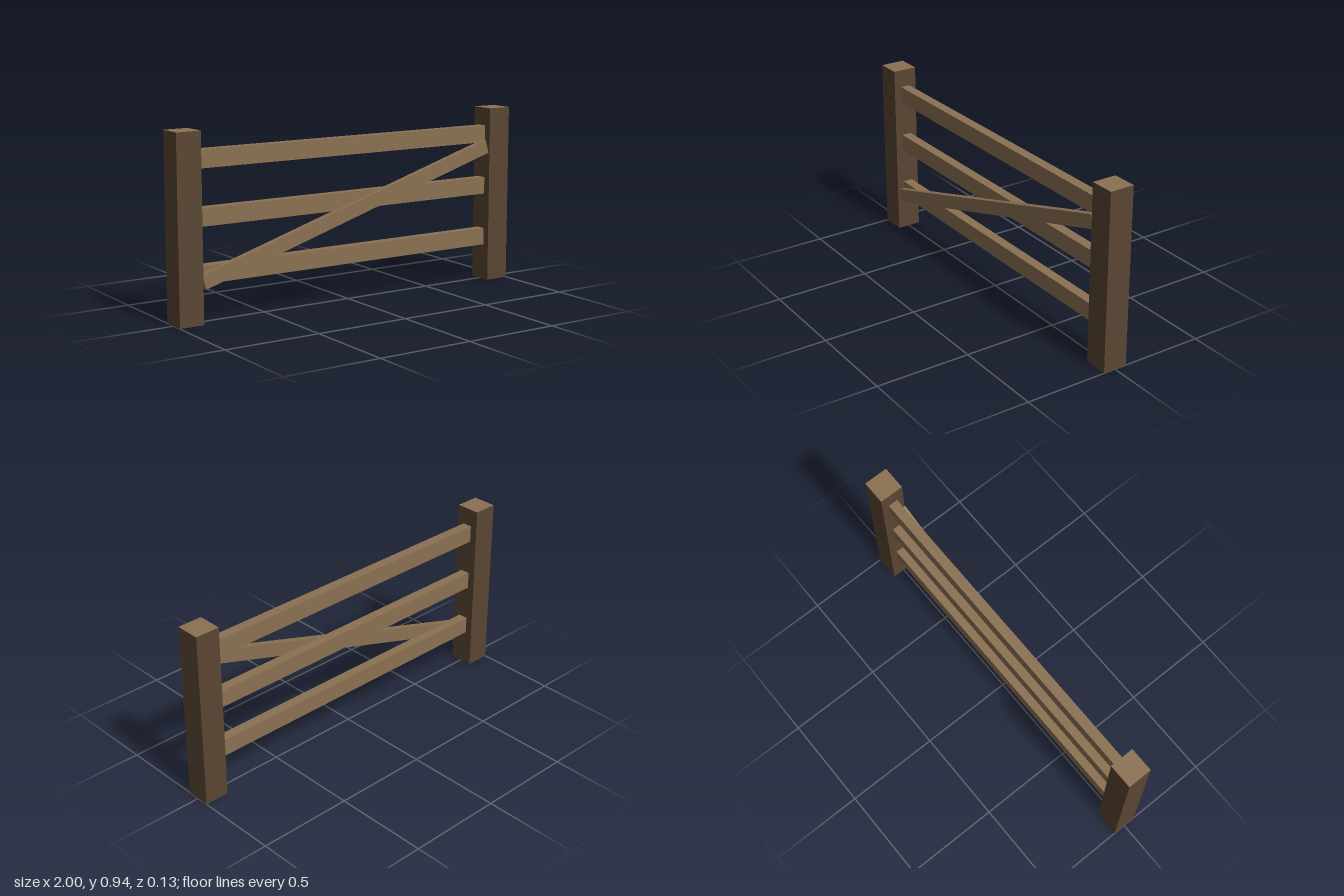
import * as THREE from 'three';

const POST_H = 0.935, POST_W = 0.13;
const RAIL_L = 1.74, RAIL_H = 0.09, RAIL_D = 0.052;

export function createModel() {
  const darkWood = new THREE.MeshStandardMaterial({ color: 0x5a4632, side: THREE.DoubleSide });
  darkWood.name = 'darkWood';
  const lightWood = new THREE.MeshStandardMaterial({ color: 0x8b7152, side: THREE.DoubleSide });
  lightWood.name = 'lightWood';

  const fence = new THREE.Group();
  fence.name = 'fence';
  const add = (name, geometry, material, x, y, z, parent = fence) => {
    const mesh = new THREE.Mesh(geometry, material);
    mesh.name = name;
    mesh.position.set(x, y, z);
    parent.add(mesh);
    return mesh;
  };

  // Posts: four dark sides, open underneath, with a pale cut top
  const r = POST_W / Math.SQRT2;
  const sides = new THREE.CylinderGeometry(r, r, POST_H, 4, 1, true).rotateY(Math.PI / 4).toNonIndexed();
  sides.computeVertexNormals();
  const top = new THREE.PlaneGeometry(POST_W, POST_W).rotateX(-Math.PI / 2);
  for (const side of [-1, 1]) {
    const post = new THREE.Group();
    post.name = side > 0 ? 'leftPost' : 'rightPost';
    post.position.x = side * (1 - POST_W / 2);
    add('postSides', sides, darkWood, 0, POST_H / 2, 0, post);
    add('postTop', top, lightWood, 0, POST_H, 0, post);
    fence.add(post);
  }

  // Three horizontal rails between the posts
  const rail = new THREE.BoxGeometry(RAIL_L, RAIL_H, RAIL_D);
  ['lowerRail', 'middleRail', 'upperRail'].forEach((name, i) =>
    add(name, rail, lightWood, 0, 0.235 + i * 0.28, 0));

  // Diagonal brace across the front of the rails
  const brace = add('diagonalBrace', new THREE.BoxGeometry(1.8, 0.072, 0.034), lightWood, 0, 0.467, 0.039);
  brace.rotation.z = THREE.MathUtils.degToRad(17);

  return fence;
}
